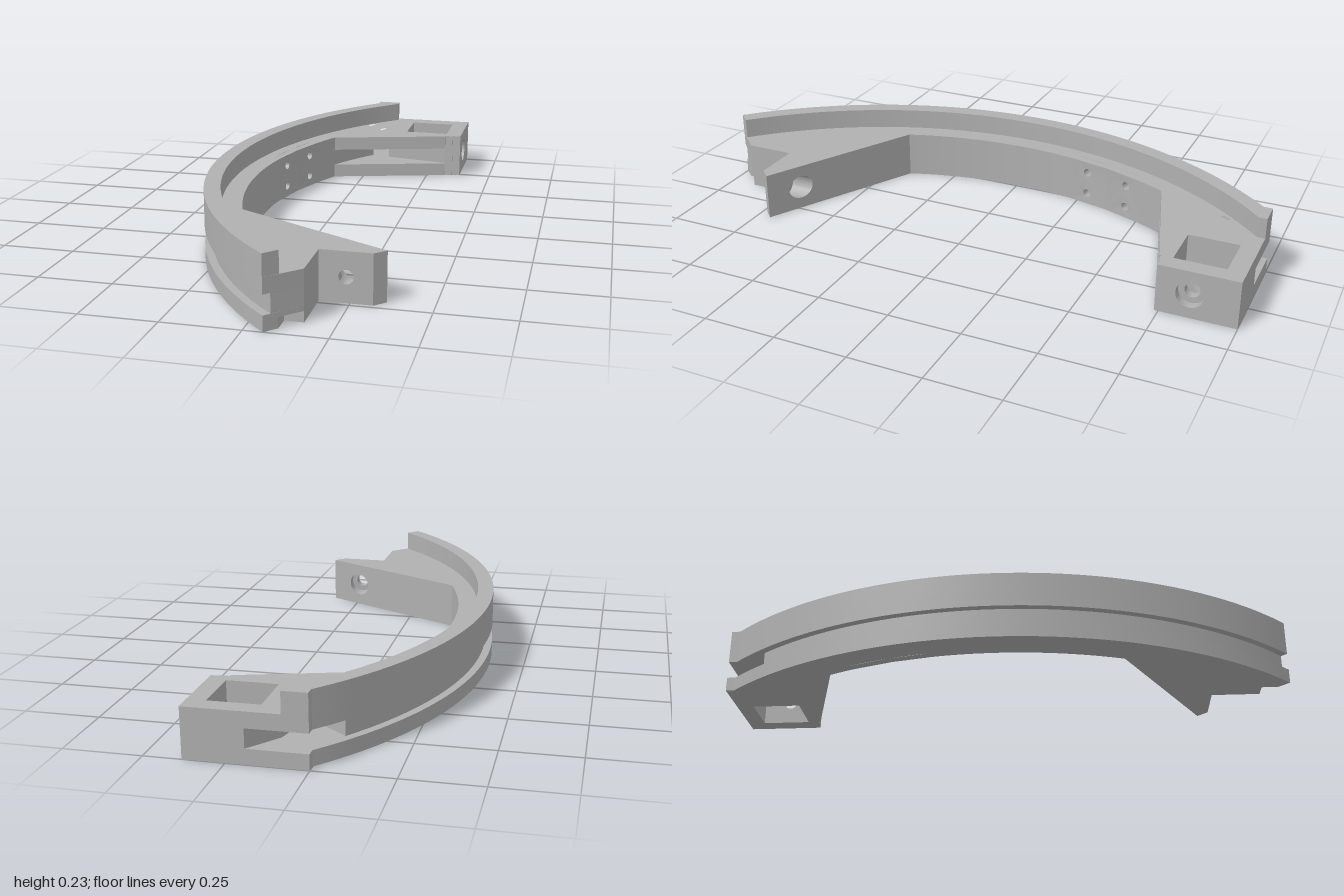
import * as THREE from 'three';
import { toCreasedNormals } from 'three/addons/utils/BufferGeometryUtils.js';

// Arc centre and main radii in plan
const CX = 1.01, CZ = -0.015;
const OUTER = 1.39, GROOVE = 1.364, RIM = 1.335, INNER = 1.265, PANEL = 0.03;
const FRONT = 0.8187; // angle of the front end
const H = 0.163, G0 = 0.05, G1 = 0.112; // body height, groove bottom and top

const polar = (r, a) => [CX - r * Math.cos(a), CZ + r * Math.sin(a)];
function arc(r, a0, a1, n) {
  return Array.from({ length: n + 1 }, (_, i) => polar(r, a0 + (a1 - a0) * i / n));
}
const slant = x => 0.415 + (x + 0.18) * 0.533; // sloping face of the front lug

export function createModel() {
  const group = new THREE.Group();
  const grey = new THREE.MeshStandardMaterial({ color: 0xb0b0b0 });

  function add(name, geometry) {
    const mesh = new THREE.Mesh(toCreasedNormals(geometry, 0.35), grey);
    mesh.name = name;
    group.add(mesh);
  }
  const shapeOf = pts => new THREE.Shape(pts.map(([x, z]) => new THREE.Vector2(x, -z)));
  const extrude = (shape, depth) =>
    new THREE.ExtrudeGeometry(shape, { depth, bevelEnabled: false, curveSegments: 32 });

  // Plan outline (x, z) raised from y0 to y1
  function plan(name, pts, y0, y1, holes = []) {
    const shape = shapeOf(pts);
    shape.holes = holes.map(shapeOf);
    add(name, extrude(shape, y1 - y0).rotateX(-Math.PI / 2).translate(0, y0, 0));
  }
  // Upright rectangle with a round hole
  function plate(x0, x1, cx, cy, r) {
    const shape = new THREE.Shape([[x0, 0], [x1, 0], [x1, H], [x0, H]].map(p => new THREE.Vector2(...p)));
    const hole = new THREE.Path();
    hole.absarc(cx, cy, r, 0, Math.PI * 2, true);
    shape.holes.push(hole);
    return extrude(shape, 1);
  }
  function bend(geometry, rule) {
    const p = geometry.attributes.position;
    for (let i = 0; i < p.count; i++) p.setXYZ(i, ...rule(p.getX(i), p.getY(i), p.getZ(i)));
    return geometry;
  }

  // Inside of the arc from back to front, with a recess for the drilled panels
  const inside = a0 => [
    ...arc(INNER, a0, -0.40, 12),
    ...arc(INNER + PANEL, -0.40, -0.17, 12),
    ...arc(INNER, -0.17, 0.347, 24),
    [0.155, slant(0.155)],
  ];
  // Back end with the square pocket open towards the bolt wall
  const backEnd = [[0, -1], [0.32, -1], [0.32, -0.94], [0.155, -0.94],
    [0.155, -0.77], [0.32, -0.77], [0.32, -0.725]];
  const flange = end => [...arc(OUTER, FRONT, -0.757, 64), ...backEnd, ...inside(-0.4807), ...end];
  const tieSlot = (x, z) => [[-0.012, 0.008], [0.004, -0.02], [0.014, -0.012], [-0.002, 0.018]]
    .map(([dx, dz]) => [x + dx, z + dz]);
  const slots = [tieSlot(-0.01, -0.85), tieSlot(0.05, -0.79)];
  const corner = [[0.155, 0.905]];

  // Body layers
  plan('notchedBase', flange([[0.155, 0.905], [0.095, 0.905], [0.095, 0.963]]), 0, 0.035, slots);
  plan('lowerFlange', flange(corner), 0.035, G0, slots);
  plan('grooveCore', [...arc(GROOVE, FRONT, -0.66, 64), ...inside(-0.66), ...corner], G0, G1);
  plan('pocketWall', [[0.19, -1], ...backEnd.slice(1, 6), [0.32, -0.732],
    [0.08, -0.775], [0.11, -0.9]], G0, G1);
  plan('upperFlange', flange(corner), G1, H, slots);

  // Raised outer rim
  plan('rim', [...arc(OUTER, FRONT, -0.757, 64), [0, -1], [0.08, -1],
    ...arc(RIM, -0.80, FRONT, 64)], H, 0.233);

  // Curved panels, each with a pair of screw holes
  for (const [a0, a1, a] of [[-0.40, -0.285, -0.3515], [-0.285, -0.17, -0.219]]) {
    const shape = new THREE.Shape([[a0, 0], [a1, 0], [a1, H], [a0, H]].map(p => new THREE.Vector2(...p)));
    for (const y of [0.04, 0.122]) {
      const hole = new THREE.Path();
      hole.absellipse(a, y, 0.015 / INNER, 0.015, 0, Math.PI * 2, true);
      shape.holes.push(hole);
    }
    add('drilledPanel', bend(extrude(shape, PANEL), (t, y, d) => {
      const [x, z] = polar(INNER + d, t);
      return [x, y, z];
    }));
  }

  // Bolt wall of the back block: narrow bore inside, counterbore outside
  for (const [x0, x1, z, r] of [[0.32, 0.35, 0.732, 0.025], [0.35, 0.38, 0.737, 0.045]]) {
    add('boltWall', plate(z, 1, 0.845, 0.082, r).scale(1, 1, x1 - x0)
      .rotateY(Math.PI / 2).translate(x0, 0, 0));
  }

  // Front lug: narrow bore in front, counterbore through the sloping face
  add('lugFront', bend(plate(0.155, 0.32, 0.238, 0.082, 0.023),
    (x, y, t) => [x, y, 0.70 + 0.035 * t]));
  add('lugBack', bend(plate(0.155, 0.32, 0.238, 0.082, 0.042),
    (x, y, t) => [x, y, slant(x) + (0.70 - slant(x)) * t]));
  plan('lugTip', [[0.32, 0.735], [0.355, 0.70], [0.32, slant(0.32)]], 0, H);

  return group;
}
